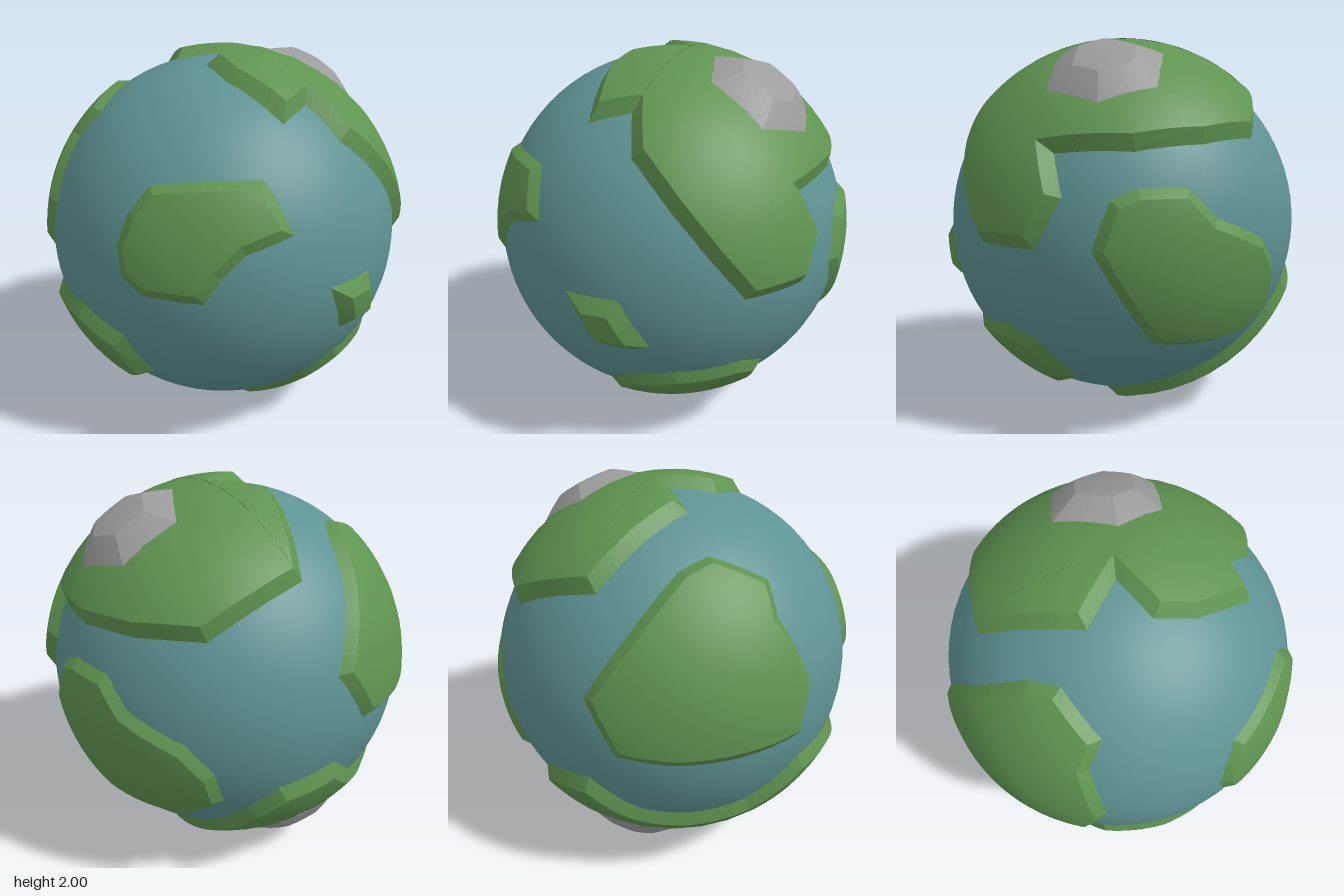
import * as THREE from 'three';

const R = 0.948;                                        // sea level
const CENTER = new THREE.Vector3(-0.017, 1, -0.015);
const OFFSET = new THREE.Vector3(-0.017, 0, -0.015);
const rad = THREE.MathUtils.degToRad;

// Directions [azimuth, elevation] from which outlines are laid onto the globe
const SIDES = {
  front: [0, 0], right: [90, 0], top: [0, 90], bottom: [0, -90],
  backLeft: [216, 25], backRight: [144, -25],
};

// Projects flat points onto the globe and returns unit directions
function on(side, points, radius = R) {
  const [t, p] = SIDES[side].map(rad);
  const right = new THREE.Vector3(Math.cos(t), 0, -Math.sin(t));
  const up = new THREE.Vector3(-Math.sin(p) * Math.sin(t), Math.cos(p), -Math.sin(p) * Math.cos(t));
  const out = new THREE.Vector3().crossVectors(right, up);
  return points.map(([x, y]) => {
    const a = x - OFFSET.dot(right), b = y - OFFSET.dot(up);
    const depth = Math.sqrt(Math.max(0, radius * radius - a * a - b * b));
    return new THREE.Vector3().addScaledVector(right, a).addScaledVector(up, b)
      .addScaledVector(out, depth).normalize();
  });
}
const front = (pts) => on('front', pts.map(([x, y]) => [x, y - 1]));
const right = (pts) => on('right', pts.map(([z, y]) => [-z, y - 1]));
const top = (pts, r) => on('top', pts.map(([x, z]) => [x, -z]), r);

// Raised patch: a bevelled rim around a plateau that follows the globe
function patch(name, outline, material, { base = R - 0.004, height = 0.04, bevel = 0.06 } = {}) {
  const c = outline.reduce((s, d) => s.add(d), new THREE.Vector3()).normalize();
  const u = new THREE.Vector3(0.3, 0.2, 0.9).cross(c).normalize();
  const v = new THREE.Vector3().crossVectors(c, u);
  let flat = outline.map((d) => {
    const f = new THREE.Vector2(d.dot(u), d.dot(v));
    return f.setLength(Math.acos(THREE.MathUtils.clamp(d.dot(c), -1, 1)));
  });
  if (THREE.ShapeUtils.area(flat) < 0) flat.reverse();
  const n = flat.length;
  const inward = (a, b) => new THREE.Vector2(a.y - b.y, b.x - a.x).normalize();
  const inner = flat.map((p, i) => {
    const n1 = inward(flat[(i + n - 1) % n], p), n2 = inward(p, flat[(i + 1) % n]);
    const k = bevel / Math.max(0.6, 1 + n1.dot(n2));
    return p.clone().addScaledVector(n1.add(n2), k);
  });
  const lift = (p, r) => {
    const a = p.length(), s = a > 1e-6 ? Math.sin(a) / a : 1;
    return c.clone().multiplyScalar(Math.cos(a)).addScaledVector(u, p.x * s)
      .addScaledVector(v, p.y * s).multiplyScalar(r);
  };
  const lo = flat.map((p) => lift(p, base));
  const hi = inner.map((p) => lift(p, R + height));

  const split = (tri, level, list) => {
    if (level === 0) { list.push(...tri); return; }
    const mid = (a, b) => a.clone().add(b).setLength((a.length() + b.length()) / 2);
    const [a, b, d] = tri, ab = mid(a, b), bd = mid(b, d), da = mid(d, a);
    [[a, ab, da], [ab, b, bd], [da, bd, d], [ab, bd, da]].forEach((t) => split(t, level - 1, list));
  };
  const rim = [], plateau = [];
  for (let i = 0; i < n; i++) {
    const j = (i + 1) % n;
    split([lo[i], lo[j], hi[j]], 3, rim);
    split([lo[i], hi[j], hi[i]], 3, rim);
  }
  THREE.ShapeUtils.triangulateShape(inner, []).forEach((f) => split(f.map((i) => hi[i]), 3, plateau));

  const group = new THREE.Group();
  group.name = name;
  [['rim', rim], ['plateau', plateau]].forEach(([part, pts]) => {
    const g = new THREE.BufferGeometry().setFromPoints(pts);
    g.computeVertexNormals();
    if (part === 'plateau') {
      pts.forEach((p, i) => { const d = p.clone().normalize(); g.attributes.normal.setXYZ(i, d.x, d.y, d.z); });
    }
    const mesh = new THREE.Mesh(g, material);
    mesh.name = part;
    group.add(mesh);
  });
  return group;
}

export function createModel() {
  const paint = (name, color) => {
    const m = new THREE.MeshStandardMaterial({ color });
    m.name = name;
    return m;
  };
  const sea = paint('sea blue', 0x5f9394);
  const grass = paint('grass green', 0x5f9450);
  const rock = paint('rock grey', 0x9c9c9c);

  const model = new THREE.Group();
  model.name = 'planet';
  const globe = new THREE.Group();
  globe.name = 'globe';
  globe.position.copy(CENTER);
  model.add(globe);

  const ocean = new THREE.Mesh(new THREE.SphereGeometry(R, 64, 40), sea);
  ocean.name = 'ocean';
  globe.add(ocean);

  // Northern continent, reaching down the right side
  globe.add(patch('northContinent', [
    ...top([[-0.08, -0.69], [-0.15, -0.45], [-0.22, -0.17], [-0.01, -0.02], [-0.2, 0.12], [-0.2, 0.32], [-0.07, 0.62]]),
    ...front([[0.12, 1.76], [0.22, 1.6], [0.45, 1.4], [0.62, 1.2], [0.75, 0.98]]),
    ...right([[0.24, 0.98], [0.11, 1.22], [0.16, 1.41], [-0.2, 1.42], [-0.5, 1.45], [-0.72, 1.47]]),
    ...top([[0.15, -0.73]]),
  ], grass, { height: 0.052, bevel: 0.07 }));

  // Continent on the right
  globe.add(patch('rightContinent', right([
    [-0.02, 0.99], [-0.1, 1.22], [-0.22, 1.27], [-0.44, 1.27], [-0.57, 1.13], [-0.78, 1.01],
    [-0.84, 0.85], [-0.81, 0.65], [-0.66, 0.5], [-0.28, 0.52], [-0.17, 0.72],
  ]), grass, { height: 0.032 }));

  // Large continent on the back left
  globe.add(patch('backContinent', on('backLeft', [
    [-0.41, -0.11], [-0.2, 0.18], [0.02, 0.45], [0.16, 0.52], [0.44, 0.41], [0.48, 0.24],
    [0.65, -0.07], [0.61, -0.34], [0.02, -0.44], [-0.27, -0.4],
  ]), grass, { height: 0.035 }));

  // Southern continent, wrapping from the back to the left
  globe.add(patch('southContinent', [
    ...on('backLeft', [[-0.64, -0.53], [-0.41, -0.54], [-0.17, -0.73], [0.08, -0.77], [0.36, -0.71], [0.63, -0.48], [0.84, -0.36]]),
    ...front([[-0.82, 0.71], [-0.67, 0.45], [-0.6, 0.24]]),
    ...on('bottom', [[-0.3, 0.05], [0.05, 0.06], [0.32, 0.02]]),
    ...on('backRight', [[-0.3, -0.59], [-0.08, -0.4], [0.28, -0.04]]),
  ], grass, { height: 0.05, bevel: 0.07 }));

  // Land at the lower front
  globe.add(patch('frontContinent', [
    ...front([[-0.17, 0.16], [0.05, 0.35], [0.21, 0.49], [0.45, 0.54], [0.69, 0.57]]),
    ...right([[0.28, 0.51], [0.2, 0.37], [0.13, 0.29]]),
    ...on('bottom', [[0.38, 0.2], [0.15, 0.25], [-0.1, 0.26]]),
  ], grass, { height: 0.035, bevel: 0.07 }));

  // Land at the upper front
  globe.add(patch('westContinent', front([
    [-0.84, 1.2], [-0.78, 1.35], [-0.68, 1.48], [-0.5, 1.51], [-0.25, 1.51], [-0.17, 1.27],
    [-0.4, 1.2], [-0.5, 1.1], [-0.57, 0.97], [-0.78, 0.98], [-0.84, 1.05],
  ]), grass, { height: 0.03 }));

  // Small island
  globe.add(patch('island', front([
    [0, 0.99], [0.28, 1], [0.4, 0.73], [0.27, 0.7], [0.12, 0.71], [0.06, 0.85],
  ]), grass, { height: 0.042, bevel: 0.08 }));

  // Rocky highlands on the northern and southern continents
  globe.add(patch('northMountain', top([
    [0.26, 0.02], [0.36, -0.28], [0.63, -0.28], [0.75, -0.02], [0.65, 0.24], [0.37, 0.24],
  ], R + 0.05), rock, { base: R + 0.05, height: 0.105, bevel: 0.13 }));
  globe.add(patch('southMountain', on('backRight', [
    [0.2, -0.57], [0.43, -0.35], [0.68, -0.37], [0.69, -0.54], [0.45, -0.77], [0.24, -0.76],
  ], R + 0.048), rock, { base: R + 0.048, height: 0.09, bevel: 0.12 }));

  return model;
}
